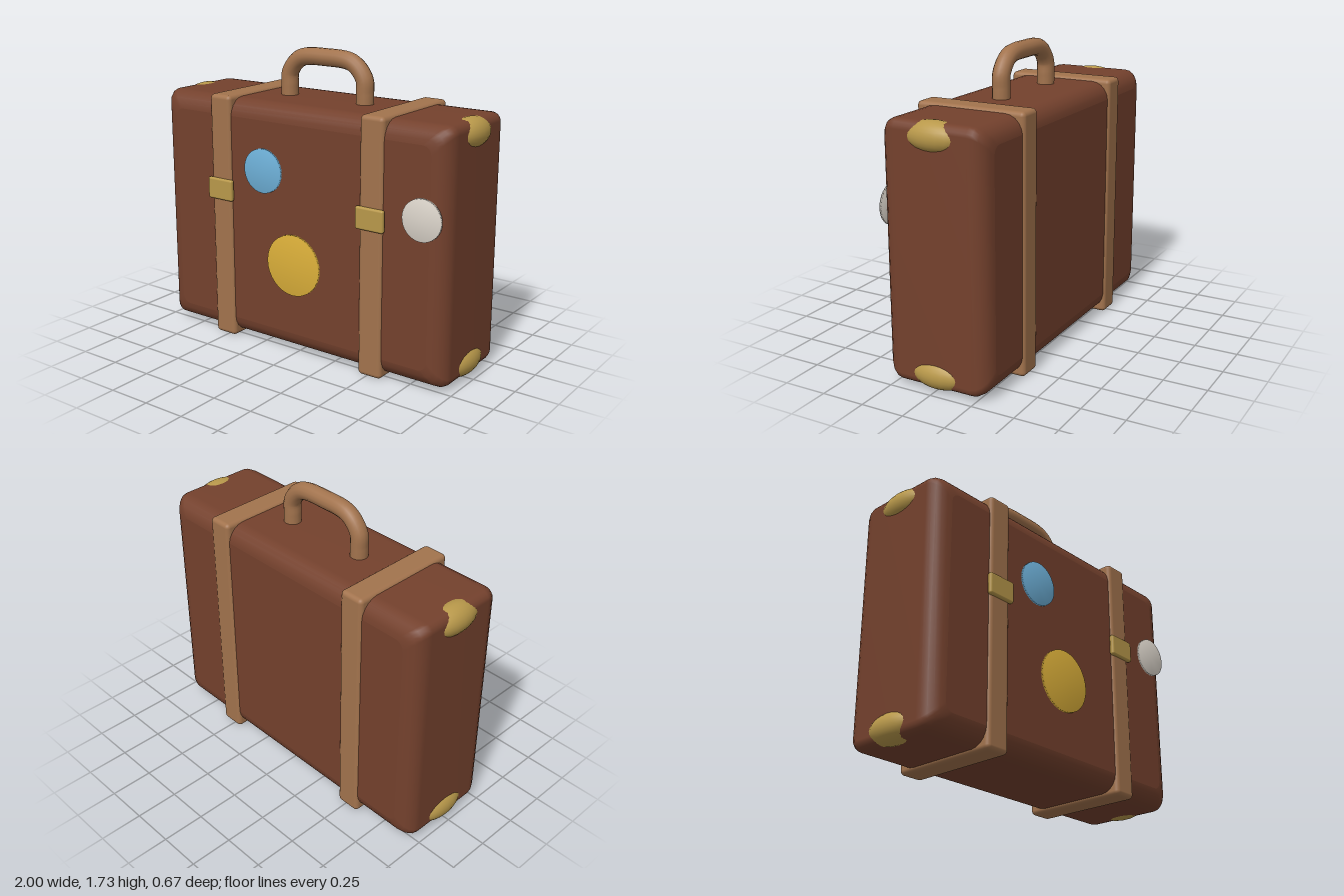
import * as THREE from 'three';
import { mergeVertices } from 'three/addons/utils/BufferGeometryUtils.js';
import { RoundedBoxGeometry } from 'three/addons/geometries/RoundedBoxGeometry.js';

const mat = (name, color) => new THREE.MeshStandardMaterial({ name, color });
const ZC = -0.011; // middle of the case in depth

// Case: rounded rectangles stacked along z, inset towards both ends for soft edges
function caseGeometry(hx, hy, hz, bevel, radius) {
  const steps = 5, arc = 4, rings = [];
  for (const side of [-1, 1]) {
    for (let i = 0; i <= steps; i++) {
      const a = (side < 0 ? i : steps - i) / steps * Math.PI / 2;
      rings.push({ inset: bevel * (1 - Math.sin(a)), z: side * (hz - bevel + bevel * Math.cos(a)) });
    }
  }
  const outline = (inset) => {
    const pts = [];
    for (let c = 0; c < 4; c++) {
      const sx = c === 0 || c === 3 ? 1 : -1, sy = c < 2 ? 1 : -1;
      for (let j = 0; j <= arc; j++) {
        const a = (c + j / arc) * Math.PI / 2;
        pts.push([sx * (hx - inset - radius) + radius * Math.cos(a), sy * (hy - inset - radius) + radius * Math.sin(a)]);
      }
    }
    return pts;
  };
  const pos = [], idx = [], n = 4 * (arc + 1);
  for (const r of rings) for (const [x, y] of outline(r.inset)) pos.push(x, y, r.z);
  for (let k = 0; k < rings.length - 1; k++) {
    for (let j = 0; j < n; j++) {
      const a = k * n + j, b = k * n + (j + 1) % n;
      idx.push(a, b, b + n, a, b + n, a + n);
    }
  }
  // flat front and back faces with their own vertices
  for (const ring of [rings[0], rings[rings.length - 1]]) {
    const s = pos.length / 3;
    for (const [x, y] of outline(ring.inset)) pos.push(x, y, ring.z);
    for (let j = 1; j < n - 1; j++) {
      if (ring.z > 0) idx.push(s, s + j, s + j + 1);
      else idx.push(s, s + j + 1, s + j);
    }
  }
  const g = new THREE.BufferGeometry();
  g.setAttribute('position', new THREE.Float32BufferAttribute(pos, 3));
  g.setIndex(idx);
  g.computeVertexNormals();
  return g;
}

// Thin disc with softened, domed shading
function discGeometry(radius) {
  let g = new THREE.CylinderGeometry(radius, radius, 0.02, 32);
  g.rotateX(Math.PI / 2);
  g.deleteAttribute('normal');
  g.deleteAttribute('uv');
  g = mergeVertices(g);
  g.computeVertexNormals();
  return g;
}

export function createModel() {
  const leather = mat('brown leather', 0x74412d);
  const tan = mat('tan leather', 0xa2734d);
  const brass = mat('brass', 0xb8984a);
  const blue = mat('sticker blue', 0x6fb2da);
  const yellow = mat('sticker yellow', 0xdcb03a);
  const white = mat('sticker white', 0xddd6cc);

  const group = new THREE.Group();
  group.name = 'suitcase';
  const add = (name, geometry, material, x, y, z) => {
    const mesh = new THREE.Mesh(geometry, material);
    mesh.name = name;
    mesh.position.set(x, y, z);
    group.add(mesh);
    return mesh;
  };

  add('case', caseGeometry(0.97, 0.7125, 0.313, 0.1, 0.05), leather, 0, 0.7325, ZC);

  // Straps with buckles, and corner guards, on both sides
  for (const [side, s] of [['left', 1], ['right', -1]]) {
    add(side + 'Strap', new RoundedBoxGeometry(0.15, 1.46, 0.652, 3, 0.025), tan, s * 0.518, 0.73, -0.01);
    add(side + 'Buckle', new RoundedBoxGeometry(0.178, 0.126, 0.03, 3, 0.012), brass, s * 0.518, 0.908, 0.32);
    for (const [level, y] of [['Upper', 1.368], ['Lower', 0.094]]) {
      const guard = add(side + level + 'CornerGuard', new THREE.SphereGeometry(0.085, 20, 14), brass, s * 0.915, y, ZC);
      guard.scale.z = 2;
    }
  }

  // Carrying handle
  const path = new THREE.CatmullRomCurve3([
    [-0.26, 1.4], [-0.26, 1.5], [-0.255, 1.58], [-0.18, 1.662], [0, 1.68],
    [0.18, 1.662], [0.255, 1.58], [0.26, 1.5], [0.26, 1.4],
  ].map(([x, y]) => new THREE.Vector3(x, y, 0)));
  add('handle', new THREE.TubeGeometry(path, 48, 0.05, 14), tan, 0, 0, ZC);

  // Round travel stickers
  add('blueSticker', discGeometry(0.128), blue, -0.21, 1.06, 0.31);
  add('yellowSticker', discGeometry(0.179), yellow, 0, 0.54, 0.31);
  add('whiteSticker', discGeometry(0.115), white, 0.83, 0.957, 0.31);

  return group;
}
